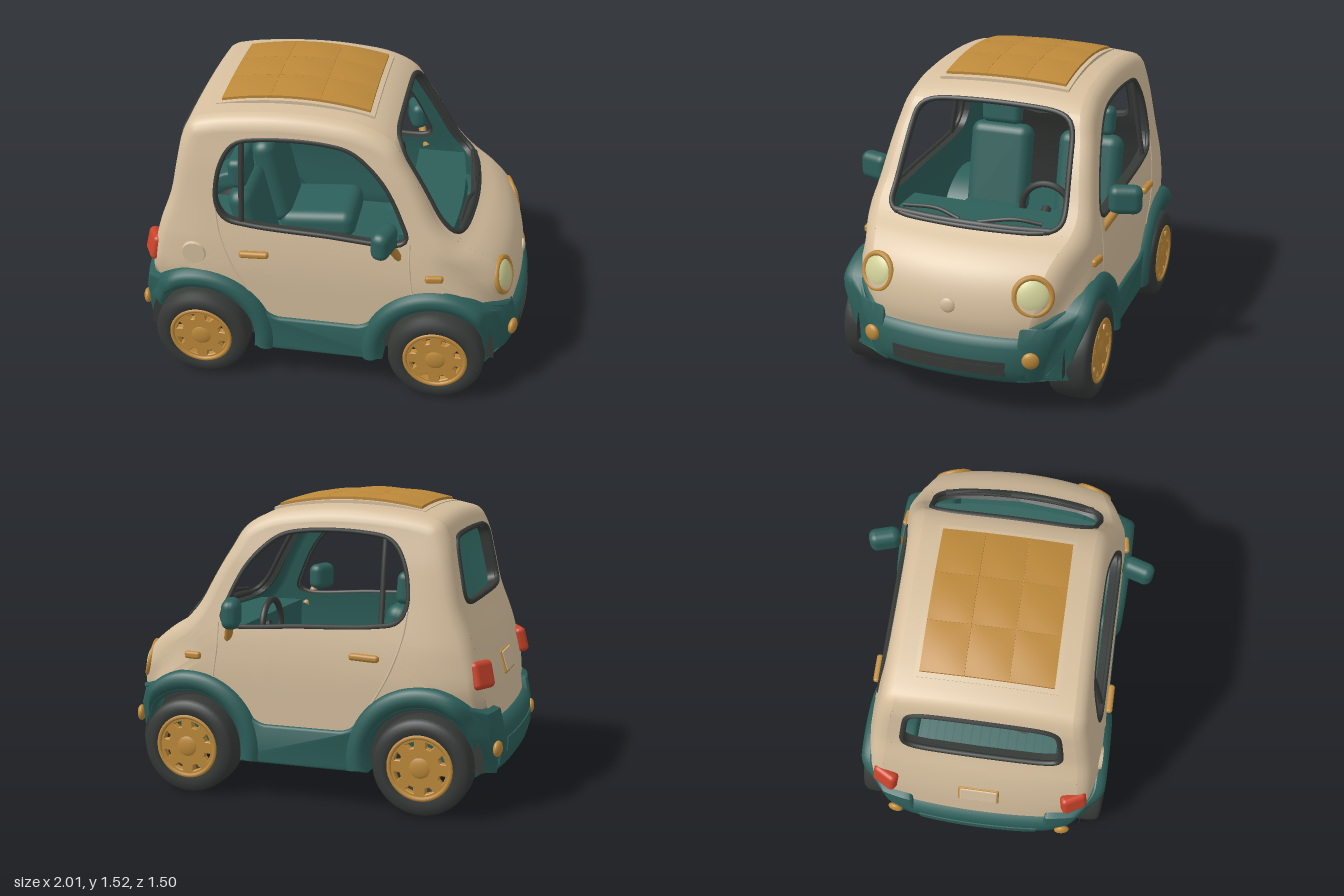
import * as THREE from 'three';
import { toCreasedNormals } from 'three/addons/utils/BufferGeometryUtils.js';
import { RoundedBoxGeometry } from 'three/addons/geometries/RoundedBoxGeometry.js';

const mat = (name, color, side = THREE.FrontSide) => Object.assign(new THREE.MeshStandardMaterial({ color, side }), { name });
const V = (x, y, z = 0) => new THREE.Vector3(x, y, z);
const ss = THREE.MathUtils.smoothstep, lerp = THREE.MathUtils.lerp;
const EDGE = 0.06, REAR = -0.63, FRONT = 0.58, AXLE = 0.245;

// half width of the cabin at a point of the side elevation
const WIDTHS = [[0.3, 0.6], [0.65, 0.605], [0.8, 0.592], [1.0, 0.557], [1.2, 0.525], [1.4, 0.488], [1.6, 0.46]];
function halfWidth(x, y) {
  let i = 0;
  while (i < WIDTHS.length - 2 && y > WIDTHS[i + 1][0]) i++;
  const [a, b] = [WIDTHS[i], WIDTHS[i + 1]];
  return lerp(a[1], b[1], (y - a[0]) / (b[0] - a[0])) - 0.12 * ss(x, 0.6, 1) - 0.05 * ss(-x, 0.6, 1);
}

// bows the nose and tail in plan, crowns the roof and rounds the bumper corners
function bow(x, y, z) {
  const q = (z / 0.6) ** 2, start = 0.75 - 0.5 * ss(y, 0.5, 0.8), ax = Math.abs(x);
  const pinch = Math.min(1, q) * (1 - ss(y, 0.45, 0.65)) * (0.2 * ss(ax, 0.76, 1.02) + 0.1 * ss(ax, 0.8, 1) * (1 - ss(y, 0.2, 0.42)));
  return V(x - 0.1 * q * ss(x, start, 1 - 0.15 * ss(y, 0.5, 0.8)) + 0.05 * q * ss(-x, 0.7, 1),
    y - 0.045 * q * ss(y, 1.15, 1.45), z * (1 - pinch));
}
function bend(geo, rule = bow) {
  const p = geo.attributes.position;
  for (let i = 0; i < p.count; i++) {
    const v = rule(p.getX(i), p.getY(i), p.getZ(i));
    p.setXYZ(i, v.x, v.y, v.z);
  }
  geo.computeVertexNormals();
  return geo;
}

// surface from a rule f(u, v)
function grid(f, nu, nv, flip = false) {
  const pos = [], idx = [], row = nv + 1;
  for (let i = 0; i <= nu; i++) for (let j = 0; j <= nv; j++) pos.push(...f(i / nu, j / nv).toArray());
  for (let i = 0; i < nu; i++) for (let j = 0; j < nv; j++) {
    const a = i * row + j, b = a + row, c = b + 1, d = a + 1;
    idx.push(...(flip ? [a, c, b, a, d, c] : [a, b, c, a, c, d]));
  }
  const g = new THREE.BufferGeometry();
  g.setAttribute('position', new THREE.Float32BufferAttribute(pos, 3));
  g.setIndex(idx);
  g.computeVertexNormals();
  return g;
}
// inward facing lining of a shell surface
function lining(geo) {
  const g = geo.clone(), p = g.attributes.position, n = g.attributes.normal;
  for (let i = 0; i < p.count; i++) p.setXYZ(i, p.getX(i) - 0.025 * n.getX(i), p.getY(i) - 0.025 * n.getY(i), p.getZ(i) - 0.025 * n.getZ(i));
  g.setIndex([...g.index.array].reverse());
  g.computeVertexNormals();
  return g;
}

// centre line of the cabin from nose over the roof to the tail
const PROFILE = new THREE.CatmullRomCurve3([[0.955, 0.4], [0.97, 0.5], [0.95, 0.62], [0.9, 0.72], [0.82, 0.795], [0.71, 0.86],
  [0.6, 0.955], [0.5, 1.1], [0.4, 1.25], [0.325, 1.37], [0.2, 1.44], [0, 1.472], [-0.2, 1.48], [-0.42, 1.467], [-0.58, 1.445],
  [-0.67, 1.415], [-0.715, 1.33], [-0.75, 1.17], [-0.79, 1.0], [-0.86, 0.84], [-0.92, 0.64], [-0.96, 0.4]].map(p => V(...p)));
const at = i => i / 21;
const SIDE_WINDOW = new THREE.CatmullRomCurve3([[-0.535, 1.0], [-0.515, 1.2], [-0.44, 1.33], [-0.3, 1.365], [0, 1.365], [0.13, 1.33],
  [0.28, 1.18], [0.39, 1.0], [0.43, 0.9], [0.385, 0.868], [0, 0.88], [-0.38, 0.9], [-0.49, 0.925]].map(p => V(...p)), true);

export function createModel() {
  const car = new THREE.Group();
  car.name = 'smallCar';
  const cream = mat('creamPaint', 0xd5be9d), teal = mat('tealTrim', 0x2d5f5a), dark = mat('darkRubber', 0x363a37, THREE.DoubleSide),
    gold = mat('goldMetal', 0xbd893a), red = mat('redLamp', 0xc9432a), lens = mat('paleLens', 0xd0d098);
  const add = (name, geo, m, pos = [0, 0, 0], rot = [0, 0, 0], parent = car) => {
    const mesh = new THREE.Mesh(geo, m);
    mesh.name = name;
    mesh.position.set(...pos);
    mesh.rotation.set(...rot);
    parent.add(mesh);
    return mesh;
  };
  const tube = (name, pts, r, m, closed = false) =>
    add(name, new THREE.TubeGeometry(new THREE.CatmullRomCurve3(pts, closed), closed ? 96 : 16, r, 8, closed), m);
  const box = (w, h, d, r = 0.02) => new RoundedBoxGeometry(w, h, d, 4, r);
  const shell = (name, geo, inside = teal) => { add(name, geo, cream); add(name + 'Lining', lining(geo), inside); };

  // nose, roof and tail
  const strip = (t0, t1, za, zb, nu, nv, round = false) => grid((u, v) => {
    const k = round ? -Math.cos(u * Math.PI) : 2 * u - 1;
    const p = PROFILE.getPoint(lerp(t0, t1, (k + 1) / 2)), h = halfWidth(p.x, p.y) - EDGE;
    return bow(p.x, p.y, lerp(za(k, h), zb(k, h), v));
  }, nu, nv);
  const left = (k, h) => -h, right = (k, h) => h;
  shell('hood', strip(0, at(5), left, right, 24, 28));
  shell('roof', strip(at(9), at(16), left, right, 28, 28));
  shell('tailPanel', strip(at(18), 1, left, right, 14, 28), dark);

  // windscreen and rear window openings with seals and reveals
  for (const [name, i0, i1, wa, wb] of [['windscreen', 5, 9, 0.46, 0.405], ['rearWindow', 16, 18, 0.36, 0.4]]) {
    const w = k => lerp(wa, wb, (k + 1) / 2) * Math.max(0, 1 - Math.abs(k) ** 7) ** (1 / 7);
    shell(name + 'PillarLeft', strip(at(i0), at(i1), left, k => -w(k), 40, 6, true), dark);
    shell(name + 'PillarRight', strip(at(i0), at(i1), w, right, 40, 6, true), dark);
    const loop = [];
    for (const s of [1, -1]) for (let i = 0; i < 24; i++) {
      const k = -s * Math.cos(i / 24 * Math.PI), p = PROFILE.getPoint(lerp(at(i0), at(i1), (k + 1) / 2));
      loop.push(bow(p.x, p.y, s * w(k)));
    }
    tube(name + 'Seal', loop, 0.014, dark, true);
    const depth = name === 'windscreen' ? V(-0.035, -0.02) : V(0.05, -0.01);
    add(name + 'Reveal', grid((u, v) => loop[Math.round(u * 48) % 48].clone().addScaledVector(depth, v), 48, 1), dark);
  }

  // outline of a side panel, with the inward normal along the rounded edge
  const outline = [], flat = (x, y) => outline.push({ p: V(x, y), n: V(0, 0) });
  for (let i = 0; i <= 84; i++) {
    const p = PROFILE.getPoint(i / 84), t = PROFILE.getTangent(i / 84);
    if (p.y > 0.47) outline.push({ p, n: V(-t.y, t.x) });
  }
  const arc = (cx, a0, a1) => {
    for (let i = 0; i <= 12; i++) {
      const a = THREE.MathUtils.degToRad(lerp(a0, a1, i / 12));
      flat(cx + 0.33 * Math.cos(a), 0.25 + 0.33 * Math.sin(a));
    }
  };
  arc(REAR, 118, 25);
  for (const x of [-0.2, -0.1, 0, 0.1, 0.2]) flat(x, 0.36);
  arc(FRONT, 155, 64);
  outline.push(outline[0]);
  const windowPts = SIDE_WINDOW.getPoints(600), angle = p => Math.atan2(p.y - 1.1, p.x + 0.05);
  const away = (a, b) => Math.abs(Math.atan2(Math.sin(a - b), Math.cos(a - b)));
  for (const o of outline) {
    const a = angle(o.p);
    o.w = windowPts.reduce((best, q) => away(angle(q), a) < away(angle(best), a) ? q : best);
  }

  for (const s of [1, -1]) {
    const side = s > 0 ? 'Right' : 'Left';
    const onSide = (x, y, out = 0) => bow(x, y, s * (halfWidth(x, y) + out));
    shell('sidePanel' + side, grid((u, v) => {
      const { p, n, w } = outline[Math.round(u * (outline.length - 1))], k = 1 - v;
      const a = Math.max(0, (k - 0.6) / 0.4) * Math.PI / 2, round = n.lengthSq() > 0 ? EDGE : 0;
      const edge = p.clone().addScaledVector(n, EDGE * (1 - Math.sin(a)));
      const q = k < 0.6 ? w.clone().lerp(edge, k / 0.6) : edge;
      return bow(q.x, q.y, s * (halfWidth(q.x, q.y) - round * (1 - Math.cos(a))));
    }, outline.length - 1, 10, s < 0));
    tube('sideWindowSeal' + side, SIDE_WINDOW.getPoints(60).slice(0, -1).map(p => onSide(p.x, p.y, -0.008)), 0.013, dark, true);
    add('sideWindowReveal' + side, grid((u, v) => {
      const p = SIDE_WINDOW.getPoint(u);
      return onSide(p.x, p.y, -0.055 * v);
    }, 80, 1), dark);
    tube('windowBar' + side, [0.9, 1.05, 1.2, 1.35].map(y => onSide(-0.41, y, -0.015)), 0.014, dark);
    tube('doorSeamFront' + side, [0.88, 0.75, 0.6].map(y => onSide(0.45, y, -0.002)), 0.006, cream);
    tube('doorSeamRear' + side, [[-0.54, 0.98], [-0.52, 0.85], [-0.46, 0.68], [-0.36, 0.5]].map(p => onSide(...p, -0.002)), 0.006, cream);

    // lower side with wheel cut-outs, rising round the arches
    const sill = new THREE.Shape();
    sill.moveTo(-0.97, 0.21);
    for (const c of [REAR, FRONT]) sill.absarc(c, AXLE, 0.29, Math.PI + 0.16, -0.16, true);
    sill.lineTo(0.965, 0.21).lineTo(0.985, 0.27).lineTo(0.985, 0.4).lineTo(0.96, 0.47);
    sill.absarc(FRONT, 0.25, 0.365, 0.85, 2.55, false);
    sill.quadraticCurveTo(0.25, 0.38, 0.17, 0.37);
    sill.lineTo(-0.22, 0.37).quadraticCurveTo(-0.3, 0.38, -0.329, 0.456);
    sill.absarc(REAR, 0.25, 0.365, 0.6, 2.3, false);
    sill.lineTo(-0.965, 0.49).lineTo(-0.985, 0.4).lineTo(-0.985, 0.28);
    const sillGeo = new THREE.ExtrudeGeometry(sill, { depth: 0.2, steps: 5, bevelSize: 0.015, bevelThickness: 0.025, bevelSegments: 3, curveSegments: 24 });
    sillGeo.translate(0, 0, s > 0 ? 0.395 : -0.595);
    add('lowerSide' + side, toCreasedNormals(bend(sillGeo), 0.7), teal);

    for (const [end, cx] of [['Rear', REAR], ['Front', FRONT]]) {
      // flared arch, its dark liner and lip
      const flare = new THREE.TorusGeometry(0.33, 0.052, 14, 40, Math.PI + 0.3);
      flare.rotateZ(-0.15).translate(cx, 0.25, s * 0.595);
      add('archFlare' + end + side, bend(flare), teal);
      const liner = new THREE.CylinderGeometry(0.283, 0.283, 0.14, 40, 1, true, -Math.PI / 2 - 0.1, Math.PI + 0.2);
      liner.rotateX(-Math.PI / 2).translate(cx, AXLE, s * 0.52);
      add('archLiner' + end + side, bend(liner), dark);
      add('archLip' + end + side, new THREE.RingGeometry(0.235, 0.288, 40, 1, -0.1, Math.PI + 0.2), dark, [cx, AXLE, s * 0.54]);

      // wheel: tyre, rim with openings and hub
      const wheel = new THREE.Group();
      wheel.name = 'wheel' + end + side;
      wheel.position.set(cx, AXLE, s * 0.545);
      wheel.rotation.y = s > 0 ? 0 : Math.PI;
      car.add(wheel);
      const section = [[0.15, -0.1], [0.19, -0.105], [0.225, -0.098], [0.24, -0.08], [0.245, -0.04], [0.245, 0.04], [0.24, 0.08],
        [0.225, 0.098], [0.19, 0.105], [0.15, 0.1], [0.15, -0.1]].map(p => new THREE.Vector2(...p));
      add('tyre', new THREE.LatheGeometry(section, 48), dark, [0, 0, 0], [Math.PI / 2, 0, 0], wheel);
      const disc = new THREE.Shape().absarc(0, 0, 0.155, 0, Math.PI * 2);
      for (let i = 0; i < 8; i++) {
        const a = i * Math.PI / 4 + Math.PI / 8, hole = new THREE.Path();
        hole.absarc(0, 0, 0.133, a - 0.2, a + 0.2, false);
        hole.absarc(0, 0, 0.1, a + 0.12, a - 0.12, true);
        disc.holes.push(hole);
      }
      add('rim', new THREE.ExtrudeGeometry(disc, { depth: 0.03, bevelSize: 0.004, bevelThickness: 0.004, bevelSegments: 1, curveSegments: 32 }), gold, [0, 0, 0.065], [0, 0, 0], wheel);
      add('rimEdge', new THREE.TorusGeometry(0.153, 0.012, 10, 40), gold, [0, 0, 0.096], [0, 0, 0], wheel);
      add('hub', new THREE.SphereGeometry(0.06, 24, 12), gold, [0, 0, 0.088], [0, 0, 0], wheel).scale.z = 0.35;
    }

    // headlight
    const light = new THREE.Group();
    light.name = 'headlight' + side;
    light.position.set(0.875, 0.635, s * 0.395);
    light.lookAt(1.875, 0.92, s * 0.72);
    car.add(light);
    add('headlightBowl', new THREE.CylinderGeometry(0.093, 0.085, 0.08, 32), gold, [0, 0, -0.035], [Math.PI / 2, 0, 0], light);
    add('headlightRing', new THREE.TorusGeometry(0.088, 0.014, 10, 36), gold, [0, 0, 0.008], [0, 0, 0], light);
    add('headlightLens', new THREE.SphereGeometry(0.082, 28, 14), lens, [0, 0, 0.005], [0, 0, 0], light).scale.z = 0.35;

    // lamps, handles and indicators
    add('fogLamp' + side, new THREE.SphereGeometry(0.042, 20, 12), gold, [0.95, 0.335, s * 0.41], [0, -s * 0.3, 0]).scale.x = 0.5;
    add('rearReflector' + side, new THREE.SphereGeometry(0.04, 20, 12), gold, [-0.966, 0.32, s * 0.45], [0, s * 0.2, 0]).scale.x = 0.5;
    add('tailLamp' + side, box(0.06, 0.135, 0.135, 0.025), red, [-0.885, 0.685, s * 0.485], [0, s * 0.5, -0.25]);
    add('doorHandle' + side, box(0.15, 0.035, 0.035, 0.015), gold, onSide(-0.34, 0.755, 0.014).toArray(), [0, 0, 0.05]);
    add('indicator' + side, box(0.09, 0.038, 0.03, 0.014), gold, onSide(0.6, 0.71, 0.006).toArray(), [0, s * 0.15, 0]);

    // door mirror
    tube('mirrorStalk' + side, [V(0.38, 0.79, s * 0.57), V(0.36, 0.84, s * 0.6), V(0.33, 0.92, s * 0.65)], 0.021, gold);
    add('mirror' + side, box(0.09, 0.145, 0.165, 0.04), teal, [0.315, 0.945, s * 0.67], [0, -s * 0.3, 0]);

    // seat
    add('seatCushion' + side, box(0.42, 0.16, 0.38, 0.06), teal, [-0.16, 0.5, s * 0.26], [0, 0, 0.08]);
    add('seatBack' + side, box(0.13, 0.5, 0.36, 0.06), teal, [-0.41, 0.74, s * 0.26], [0, 0, 0.22]);
    add('headrest' + side, box(0.09, 0.16, 0.23, 0.035), teal, [-0.475, 1.06, s * 0.27], [0, 0, 0.08]);

    // wiper
    tube('wiper' + side, [V(0.69, 0.885, s * 0.05), V(0.67, 0.915, s * 0.2 - 0.03), V(0.65, 0.9, s * 0.36)], 0.01, dark);
  }

  // floor and bumpers in one bowed piece
  const base = new THREE.Shape([[-0.97, 0.19], [-0.99, 0.22], [-1, 0.3], [-1, 0.39], [-0.985, 0.43], [-0.95, 0.445], [0.94, 0.435],
    [0.98, 0.42], [1, 0.385], [1, 0.27], [0.985, 0.215], [0.96, 0.19]].map(p => new THREE.Vector2(...p)));
  const baseGeo = new THREE.ExtrudeGeometry(base, { depth: 0.9, steps: 18, bevelEnabled: false }).translate(0, 0, -0.45);
  add('floorAndBumpers', toCreasedNormals(bend(baseGeo), 0.9), teal);
  const bar = (x, y, h, w) => toCreasedNormals(bend(new THREE.BoxGeometry(0.016, h, w, 1, 1, 16).translate(x, y, 0)), 0.6);
  add('grille', bar(0.995, 0.277, 0.075, 0.62), dark);
  add('grilleSlat', bar(0.999, 0.285, 0.016, 0.56), dark);
  add('rearBumperRidge', bar(-0.998, 0.31, 0.07, 0.68), teal);

  // quilted roof panel
  const crown = lift => (x, y, z) => V(x, y + lift - 0.3 * (x + 0.18) ** 2 - 0.125 * z * z, z);
  add('roofPanelFrame', toCreasedNormals(bend(new THREE.BoxGeometry(0.78, 0.04, 0.68, 16, 1, 14).translate(-0.175, 0, 0), crown(1.476)), 0.6), cream);
  for (let i = 0; i < 3; i++) for (let j = 0; j < 3; j++) {
    const tile = new THREE.BoxGeometry(0.243, 0.02, 0.211, 8, 1, 8);
    bend(tile, (x, y, z) => V(x, y + (y > 0 ? 0.007 * (1 - (x / 0.122) ** 2) * (1 - (z / 0.106) ** 2) : 0), z));
    tile.translate(-0.175 + (i - 1) * 0.244, 0, (j - 1) * 0.212);
    add('roofTile', toCreasedNormals(bend(tile, crown(1.499)), 0.6), gold);
  }

  // dashboard and steering wheel
  const dash = new THREE.BoxGeometry(0.28, 0.22, 0.88, 4, 2, 16).translate(0.5, 0.73, 0);
  add('dashboard', toCreasedNormals(bend(dash), 0.6), teal);
  add('steeringWheel', new THREE.TorusGeometry(0.13, 0.017, 10, 36), dark, [0.27, 0.82, -0.25], [0, Math.PI / 2, -0.5]);
  tube('steeringColumn', [V(0.27, 0.82, -0.25), V(0.33, 0.79, -0.25), V(0.4, 0.75, -0.25)], 0.025, dark);

  // cowl strip, nose knob, filler cap and rear plate
  tube('cowl', [-0.4, -0.2, 0, 0.2, 0.4].map(z => bow(0.695, 0.872, z)), 0.018, dark);
  add('noseKnob', new THREE.SphereGeometry(0.038, 20, 12), cream, [0.962, 0.56, 0]).scale.x = 0.4;
  add('fillerCap', new THREE.CylinderGeometry(0.058, 0.064, 0.02, 28), cream, [-0.65, 0.725, halfWidth(-0.65, 0.725)], [Math.PI / 2, 0, 0]);
  add('plateFrame', box(0.02, 0.12, 0.21, 0.008), gold, [-0.911, 0.67, 0], [0, 0, -0.29]);
  add('plate', box(0.02, 0.105, 0.195, 0.008), cream, [-0.916, 0.672, 0], [0, 0, -0.29]);
  return car;
}
